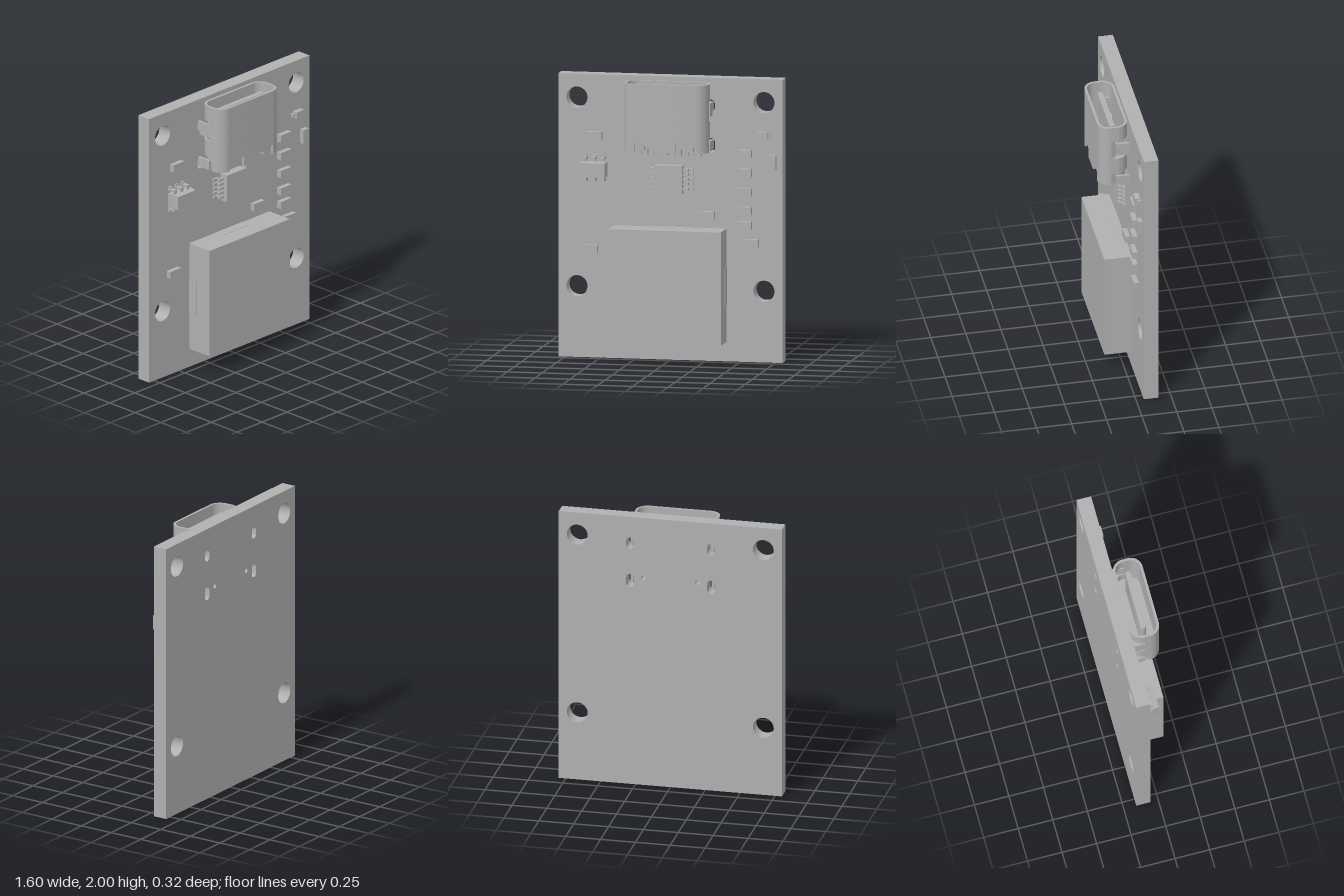
import * as THREE from 'three';
import { toCreasedNormals } from 'three/addons/utils/BufferGeometryUtils.js';

const FACE = -0.055; // front surface of the board
const BACK = -0.16;

export function createModel() {
  const grey = new THREE.MeshStandardMaterial({ color: 0xb0b0b0 });
  grey.name = 'plain grey';
  const model = new THREE.Group();
  model.name = 'circuitBoard';

  const add = (parent, name, geometry) => {
    const mesh = new THREE.Mesh(geometry, grey);
    mesh.name = name;
    parent.add(mesh);
    return mesh;
  };
  const group = (name) => {
    const g = new THREE.Group();
    g.name = name;
    model.add(g);
    return g;
  };
  // Box given by its limits on each axis
  const box = (parent, name, x0, x1, y0, y1, z0, z1) => {
    const mesh = add(parent, name, new THREE.BoxGeometry(x1 - x0, y1 - y0, z1 - z0));
    mesh.position.set((x0 + x1) / 2, (y0 + y1) / 2, (z0 + z1) / 2);
    return mesh;
  };
  const extrude = (shape, depth) => toCreasedNormals(
    new THREE.ExtrudeGeometry(shape, { depth, bevelEnabled: false, curveSegments: 12 }), 0.6);
  // Extrude an (x, z) outline between two heights
  const upright = (parent, name, shape, y0, y1) => {
    const mesh = add(parent, name, extrude(shape, y1 - y0).rotateX(Math.PI / 2));
    mesh.position.y = y1;
    return mesh;
  };
  const roundRect = (T, x0, x1, y0, y1, r) => {
    const s = new T();
    s.absarc(x1 - r, y0 + r, r, -Math.PI / 2, 0);
    s.absarc(x1 - r, y1 - r, r, 0, Math.PI / 2);
    s.absarc(x0 + r, y1 - r, r, Math.PI / 2, Math.PI);
    s.absarc(x0 + r, y0 + r, r, Math.PI, Math.PI * 1.5);
    s.closePath();
    return s;
  };

  // Board with mounting holes, leg slots and locating holes
  const outline = new THREE.Shape([[-0.8, 0], [0.8, 0], [0.8, 2], [-0.8, 2]]
    .map(([x, y]) => new THREE.Vector2(x, y)));
  for (const s of [-1, 1]) {
    for (const [x, y, r] of [[0.667, 1.835, 0.075], [0.667, 0.503, 0.075], [0.195, 1.55, 0.017]]) {
      outline.holes.push(new THREE.Path().absarc(s * x, y, r, 0, Math.PI * 2));
    }
    for (const [y, h] of [[1.803, 0.042], [1.523, 0.05]]) {
      outline.holes.push(roundRect(THREE.Path, s * 0.29 - 0.026, s * 0.29 + 0.026, y - h, y + h, 0.026));
    }
  }
  add(model, 'board', extrude(outline, FACE - BACK)).position.z = BACK;

  // Connector shell, built in bands so the side slots stay open
  const port = group('connector');
  const W = 0.3, Z0 = -0.052, Z1 = 0.16, R = 0.085, T = 0.018;
  const ring = roundRect(THREE.Shape, -W, W, Z0, Z1, R);
  ring.holes.push(roundRect(THREE.Path, -W + T, W - T, Z0 + T, Z1 - T, R - T));
  const cx = W - R, cz = Z1 - R, low = 0.04;
  const arch = new THREE.Shape();
  arch.moveTo(W, low);
  arch.absarc(cx, cz, R, 0, Math.PI / 2);
  arch.absarc(-cx, cz, R, Math.PI / 2, Math.PI);
  arch.lineTo(-W, low);
  arch.lineTo(-W + T, low);
  arch.absarc(-cx, cz, R - T, Math.PI, Math.PI / 2, true);
  arch.absarc(cx, cz, R - T, Math.PI / 2, 0, true);
  arch.lineTo(W - T, low);
  arch.closePath();
  upright(port, 'shellMouth', ring, 1.855, 1.97);
  upright(port, 'shellMiddle', ring, 1.585, 1.71);
  upright(port, 'shellUpperArch', arch, 1.71, 1.855);
  upright(port, 'shellLowerArch', arch, 1.56, 1.585);
  box(port, 'shellUpperBack', -cx, cx, 1.71, 1.855, Z0, Z0 + T);
  box(port, 'shellLowerBack', -cx, cx, 1.49, 1.585, Z0, Z0 + T);
  box(port, 'shellFrontStrip', -0.075, 0.075, 1.49, 1.56, Z1 - T, Z1);
  for (const s of [-1, 1]) {
    const corner = new THREE.Shape();
    corner.moveTo(s * W, low);
    corner.absarc(s * cx, cz, R, s > 0 ? 0 : Math.PI, Math.PI / 2, s < 0);
    corner.absarc(s * cx, cz, R - T, Math.PI / 2, s > 0 ? 0 : Math.PI, s > 0);
    corner.lineTo(s * (W - T), low);
    corner.closePath();
    upright(port, 'shellCorner', corner, 1.49, 1.56);
    for (const [y0, y1] of [[1.735, 1.83], [1.49, 1.56]]) {
      const x = s * (W - T / 2);
      box(port, 'shellLeg', x - T / 2, x + T / 2, y0, y1, -0.1, low);
    }
    // Spring finger inside the front cut-out
    const f = s * 0.175;
    box(port, 'springFinger', f - 0.025, f + 0.025, 1.5, 1.545, 0.1, 0.13);
  }
  upright(port, 'housing', roundRect(THREE.Shape, -W + T, W - T, Z0 + T, Z1 - T, R - T), 1.53, 1.62);
  upright(port, 'tongue', roundRect(THREE.Shape, -0.22, 0.22, 0.032, 0.07, 0.018), 1.61, 1.93);
  for (let i = 0; i < 10; i++) {
    const x = -0.215 + (i * 0.43) / 9;
    box(port, 'contactPin', x - 0.009, x + 0.009, 1.445, 1.54, FACE, -0.03);
  }

  // Bent lead running outward along +x from the origin, sitting on the board
  const leadGeometry = (length, height, thick, width) => {
    const a = length * 0.35, p = [[-0.02, height], [a + thick, height], [a + thick, thick],
      [length, thick], [length, 0], [a, 0], [a, height - thick], [-0.02, height - thick]];
    const s = new THREE.Shape(p.reverse().map(([x, y]) => new THREE.Vector2(x, y)));
    // Stand the profile up so that its height runs along z
    return new THREE.ExtrudeGeometry(s, { depth: width, bevelEnabled: false })
      .translate(0, 0, -width / 2).rotateX(Math.PI / 2);
  };
  const lead = (parent, geometry, x, y, turn) => {
    const mesh = add(parent, 'lead', geometry);
    mesh.position.set(x, y, FACE);
    mesh.rotation.z = turn;
  };

  // Flat ten-lead chip
  const chip = group('flatChip');
  box(chip, 'chipBody', -0.1, 0.096, 1.18, 1.38, -0.045, 0.018);
  const shortLead = leadGeometry(0.068, 0.045, 0.014, 0.018);
  for (let i = 0; i < 5; i++) {
    const y = 1.214 + i * 0.0335;
    lead(chip, shortLead, 0.096, y, 0);
    lead(chip, shortLead, -0.1, y, Math.PI);
  }

  // Six-lead chip with drafted sides, widest at mid height
  const regulator = group('sixLeadChip');
  const body = new THREE.BoxGeometry(0.19, 0.108, 0.1, 1, 1, 2);
  const pos = body.attributes.position;
  for (let i = 0; i < pos.count; i++) {
    if (Math.abs(pos.getZ(i)) > 0.01) {
      pos.setX(i, pos.getX(i) - Math.sign(pos.getX(i)) * 0.008);
      pos.setY(i, pos.getY(i) - Math.sign(pos.getY(i)) * 0.006);
    }
  }
  const flat = body.toNonIndexed();
  flat.computeVertexNormals();
  add(regulator, 'chipBody', flat).position.set(-0.535, 1.338, 0.003);
  const tallLead = leadGeometry(0.042, 0.065, 0.016, 0.025);
  for (const x of [-0.6, -0.537, -0.474]) {
    lead(regulator, tallLead, x, 1.39, Math.PI / 2);
    lead(regulator, tallLead, x, 1.286, -Math.PI / 2);
  }

  // Large module block with side and top terminals
  const block = group('moduleBlock');
  box(block, 'blockBody', -0.4, 0.4, 0.137, 0.938, FACE, 0.145);
  box(block, 'sideTerminals', -0.402, 0.402, 0.403, 0.67, FACE, 0.015);
  box(block, 'endTerminals', -0.133, 0.133, 0.135, 0.94, FACE, 0.015);

  // Small surface-mount parts
  const passives = group('smallParts');
  for (const [x, y] of [[-0.537, 1.57], [0.53, 1.472], [0.53, 1.338], [0.53, 1.203], [0.53, 1.07],
    [0.53, 0.967], [0.265, 1.03], [0.577, 0.842], [-0.57, 0.77]]) {
    box(passives, 'resistor', x - 0.053, x + 0.053, y - 0.027, y + 0.027, FACE, -0.02);
  }
  box(passives, 'uprightResistor', 0.704, 0.757, 1.365, 1.47, FACE, -0.02);

  // Small diode with a lead at each end
  const diode = group('diode');
  box(diode, 'diodeBody', 0.63, 0.702, 1.58, 1.63, -0.05, -0.012);
  for (const s of [-1, 1]) {
    const x = 0.666 + s * 0.043;
    box(diode, 'diodeLead', x - 0.009, x + 0.009, 1.592, 1.618, FACE, -0.03);
  }
  return model;
}
